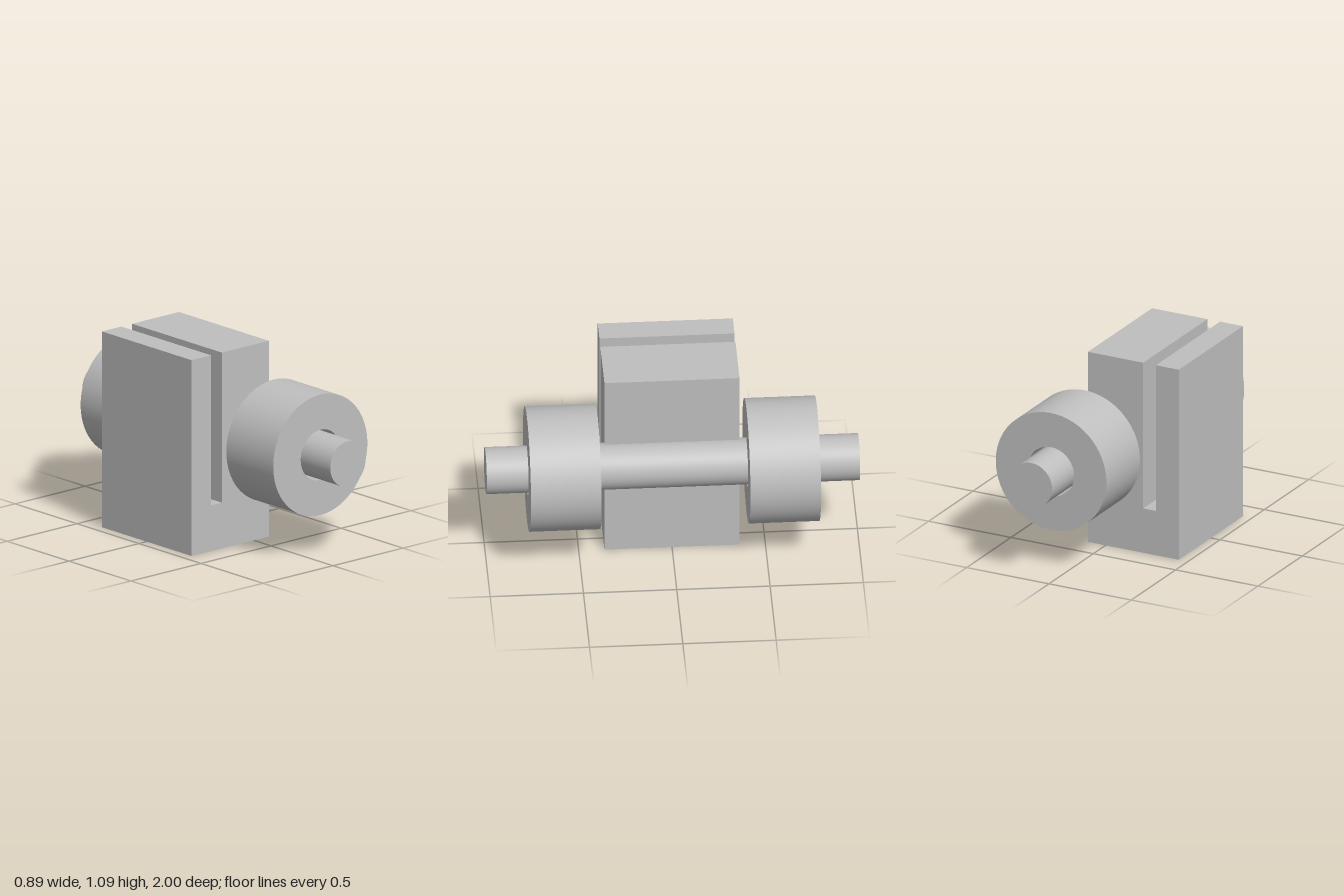
import * as THREE from 'three';
import { toCreasedNormals } from 'three/addons/utils/BufferGeometryUtils.js';

const AXIS_X = 0.107, AXIS_Y = 0.548; // shared axis of shaft, rings and groove
const BORE = 0.14;

// Extrude a profile along z, centred on the given z
function extrude(shape, depth, z) {
  const g = new THREE.ExtrudeGeometry(shape, { depth, bevelEnabled: false, curveSegments: 48 });
  g.translate(0, 0, z - depth / 2);
  return toCreasedNormals(g, 0.5);
}

export function createModel() {
  const group = new THREE.Group();
  const grey = new THREE.MeshStandardMaterial({ color: 0xbfbfbf });
  grey.name = 'grey';

  const add = (name, geometry) => {
    const mesh = new THREE.Mesh(geometry, grey);
    mesh.name = name;
    group.add(mesh);
    return mesh;
  };

  // Block with a deep vertical slot and a half-round groove for the shaft
  const block = new THREE.Shape();
  block.moveTo(-0.445, 0);
  block.lineTo(AXIS_X, 0);
  block.lineTo(AXIS_X, AXIS_Y - BORE);
  block.absarc(AXIS_X, AXIS_Y, BORE, -Math.PI / 2, -Math.PI * 1.5, true);
  block.lineTo(AXIS_X, 1.092);
  block.lineTo(-0.229, 1.092);
  block.lineTo(-0.229, 0.255);
  block.lineTo(-0.306, 0.255);
  block.lineTo(-0.306, 1.092);
  block.lineTo(-0.445, 1.092);
  block.closePath();
  add('slottedBlock', extrude(block, 0.724, 0));

  // Shaft
  const shaft = add('shaft', new THREE.CylinderGeometry(0.126, 0.126, 2, 64).rotateX(Math.PI / 2));
  shaft.position.set(AXIS_X, AXIS_Y, 0);

  // Thick rings, loose on the shaft at both ends
  const ring = new THREE.Shape().absarc(AXIS_X, AXIS_Y, 0.336, 0, Math.PI * 2, false);
  ring.holes.push(new THREE.Path().absarc(AXIS_X, AXIS_Y, BORE, 0, Math.PI * 2, true));
  for (const side of [1, -1]) {
    add(side > 0 ? 'frontRing' : 'backRing', extrude(ring, 0.378, side * 0.588));
  }

  return group;
}
